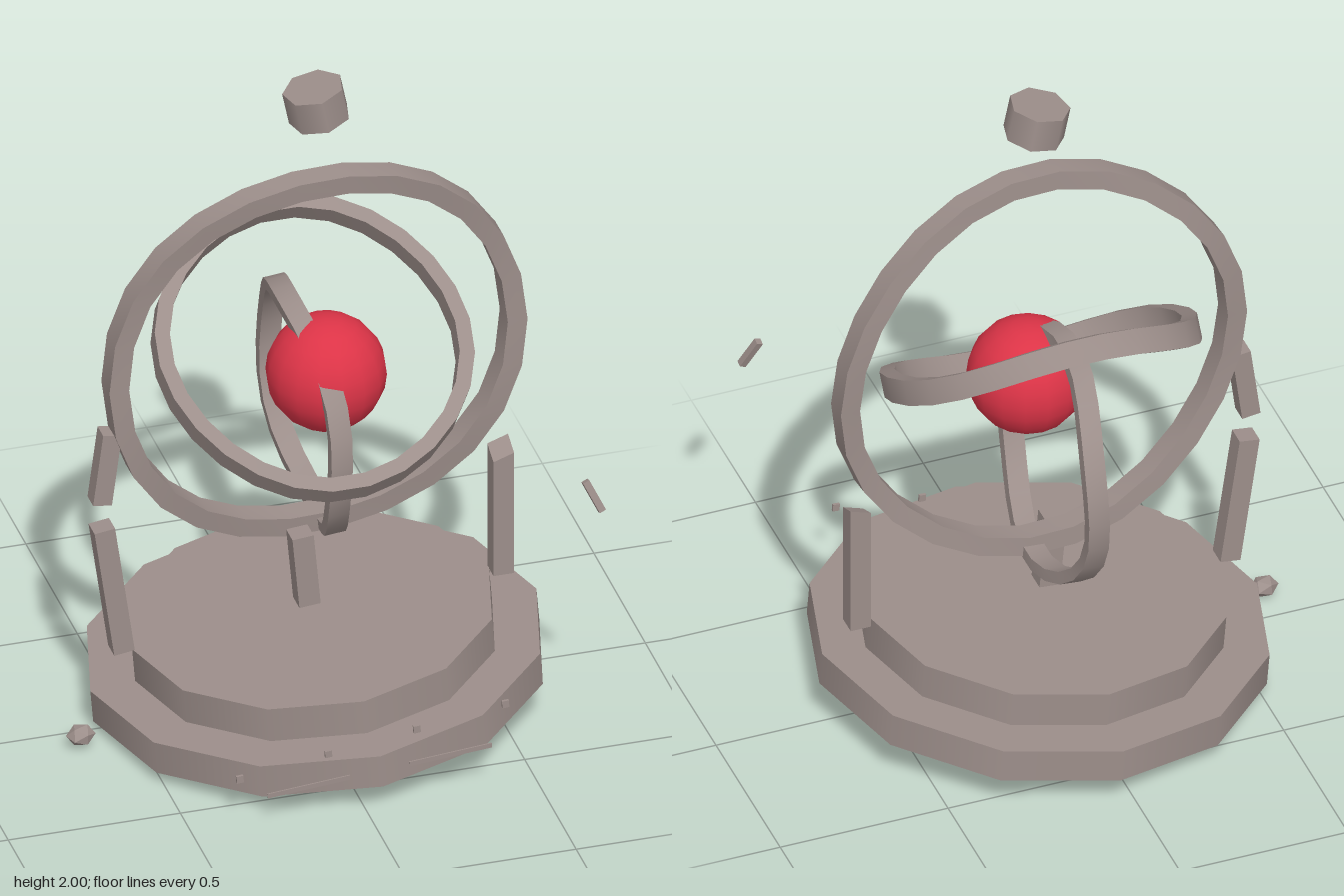
import * as THREE from 'three';

const stone = new THREE.MeshStandardMaterial({ color: 0x9c8e8a });
stone.name = 'warm grey stone';
const red = new THREE.MeshStandardMaterial({ color: 0xdc3447 });
red.name = 'red core';

// Square-section hoop in the XY plane, waved along its axis; each of its four sides is a separate smooth strip
function hoopGeometry(outer, radial, axial, wave, segments = 26) {
  const pos = [], index = [];
  const inner = outer - radial, h = axial / 2;
  const corners = [[outer, -h], [outer, h], [inner, h], [inner, -h]];
  for (let side = 0; side < 4; side++) {
    const start = pos.length / 3;
    for (let i = 0; i < segments; i++) {
      const t = (i / segments) * Math.PI * 2;
      for (const [r, z] of [corners[side], corners[(side + 1) % 4]]) {
        pos.push(r * Math.cos(t), r * Math.sin(t), z - wave * Math.sin(3 * t));
      }
    }
    for (let i = 0; i < segments; i++) {
      const a = start + i * 2, b = start + ((i + 1) % segments) * 2;
      index.push(a, b, a + 1, b, b + 1, a + 1);
    }
  }
  const g = new THREE.BufferGeometry();
  g.setAttribute('position', new THREE.Float32BufferAttribute(pos, 3));
  g.setIndex(index);
  g.computeVertexNormals();
  return g;
}

export function createModel() {
  const model = new THREE.Group();
  model.name = 'brokenArmillary';

  function add(name, geometry, position, rotation = [0, 0, 0], material = stone) {
    const mesh = new THREE.Mesh(geometry, material);
    mesh.name = name;
    mesh.position.set(...position);
    mesh.rotation.set(...rotation);
    model.add(mesh);
    return mesh;
  }
  const box = (w, h, d) => new THREE.BoxGeometry(w, h, d);

  // Tilted two-step base
  const tilt = 0.083;
  add('lowerBase', new THREE.CylinderGeometry(0.65, 0.65, 0.1, 12), [0.04, 0.135, 0], [0, 0, tilt]);
  add('upperBase', new THREE.CylinderGeometry(0.52, 0.52, 0.105, 12), [0.032, 0.237, 0], [0, 0, tilt]);

  // Broken supports
  add('leftPost', box(0.06, 0.41, 0.06), [0.58, 0.525, 0]).geometry = (() => {
    // slanted break across the top
    const g = box(0.06, 0.41, 0.06), p = g.attributes.position;
    for (let i = 0; i < p.count; i++) {
      if (p.getY(i) > 0) p.setY(i, 0.19 + p.getX(i) * 0.35 - p.getZ(i) * 0.45);
    }
    g.computeVertexNormals();
    return g;
  })();
  add('rightPost', box(0.06, 0.41, 0.06), [-0.55, 0.46, 0], [0, 0, 0.14]);
  add('rightPostFragment', box(0.055, 0.225, 0.055), [-0.57, 0.858, 0], [0, 0, -0.13]);
  add('centrePost', box(0.062, 0.225, 0.062), [0.007, 0.43, 0], [0, 0, 0.09]);

  // Core and warped rings
  add('core', new THREE.SphereGeometry(0.17, 16, 12), [0.073, 1.055, 0], [0, 0, 0], red);
  add('outerRing', hoopGeometry(0.615, 0.058, 0.07, 0.02), [0.045, 1.118, -0.02], [0.07, 0.04, 0]);
  add('middleRing', hoopGeometry(0.45, 0.043, 0.072, 0.017), [0.04, 1.125, -0.02], [-0.96, 0, 0]);
  add('innerRing', hoopGeometry(0.37, 0.035, 0.062, -0.015), [0.05, 0.872, -0.135],
    [0, Math.PI / 2, 0.1, 'ZYX']);

  // Floating finial chunk
  add('finial', new THREE.CylinderGeometry(0.088, 0.088, 0.1, 7), [0.045, 1.935, 0], [0, 0, 0.2]);

  // Floating splinter
  add('splinter', box(0.02, 0.1, 0.02), [0.677, 0.88, 0.578], [-0.3, 0, 0.42]);

  // Rubble around the base
  const rocks = [[-0.665, 0.048, 0.085, 0.044], [-0.28, 0.046, 0.105, 0.042], [0.285, 0.05, 0.23, 0.074]];
  for (const [x, y, z, r] of rocks) {
    const g = new THREE.IcosahedronGeometry(r, 0);
    g.scale(1, 0.68, 0.85);
    g.computeVertexNormals();
    add('rubble', g, [x, y, z], [0.1, 0.4, 0]);
  }

  // Chips and thin strips along the front rim
  for (let i = 0; i < 4; i++) {
    add('chip', box(0.02, 0.022, 0.008), [-0.355 + i * 0.257, 0.146 + i * 0.037, 0.593], [0, 0, tilt]);
  }
  for (const [x, y] of [[-0.167, 0.112], [0.245, 0.145]]) {
    add('rimStrip', box(0.24, 0.014, 0.004), [x, y, 0.633], [0, 0, tilt]);
  }
  return model;
}
